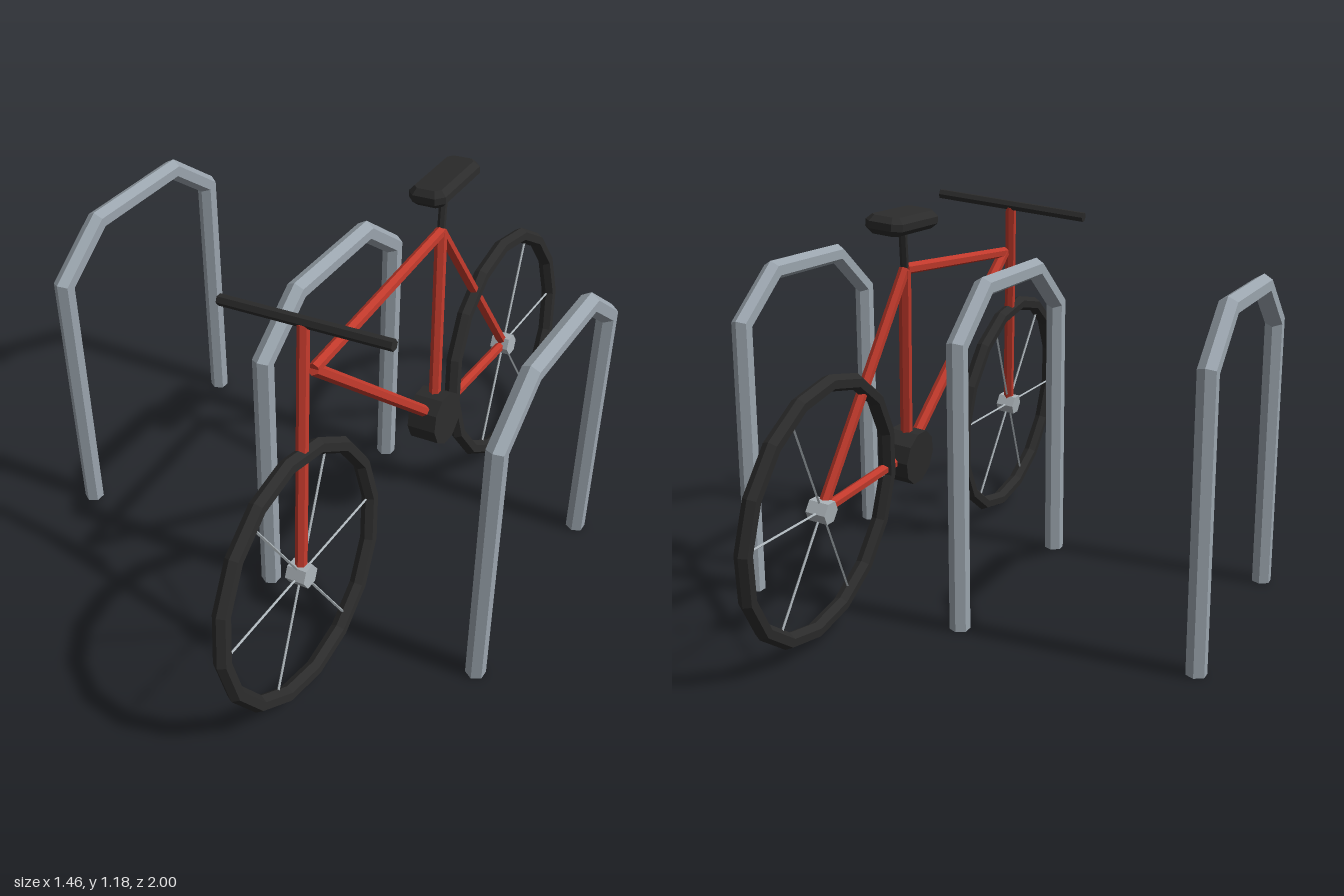
import * as THREE from 'three';

const mat = (name, color) => {
  const m = new THREE.MeshStandardMaterial({ color });
  m.name = name;
  return m;
};

// Splits faces so that every facet is shaded flat
function faceted(geo) {
  const g = geo.index ? geo.toNonIndexed() : geo;
  g.computeVertexNormals();
  return g;
}

function mesh(name, geo, material, parent) {
  const m = new THREE.Mesh(faceted(geo), material);
  m.name = name;
  parent.add(m);
  return m;
}

// Straight tube between two points
function bar(name, a, b, radius, material, parent, sides = 6) {
  const from = new THREE.Vector3(...a), to = new THREE.Vector3(...b);
  const dir = to.clone().sub(from);
  const m = mesh(name, new THREE.CylinderGeometry(radius, radius, dir.length(), sides), material, parent);
  m.position.copy(from).add(to).multiplyScalar(0.5);
  m.quaternion.setFromUnitVectors(new THREE.Vector3(0, 1, 0), dir.normalize());
  return m;
}

// Hexagonal tube with mitred bends, along a path of [z, y] points
function mitredTube(path, radius, sides = 6) {
  const pts = path.map(p => new THREE.Vector2(...p));
  const pos = [], index = [], last = pts.length - 1;
  pts.forEach((p, i) => {
    const d0 = pts[Math.max(i, 1)].clone().sub(pts[Math.max(i, 1) - 1]).normalize();
    const j = Math.min(i + 1, last);
    const d1 = pts[j].clone().sub(pts[j - 1]).normalize();
    const t = d0.clone().add(d1).normalize();
    const stretch = 1 / t.dot(d0);
    for (let k = 0; k < sides; k++) {
      const a = k / sides * Math.PI * 2;
      const off = Math.cos(a) * radius * stretch;
      pos.push(Math.sin(a) * radius, p.y + t.x * off, p.x - t.y * off);
    }
  });
  for (let i = 0; i < last; i++) {
    for (let k = 0; k < sides; k++) {
      const a = i * sides + k, b = i * sides + (k + 1) % sides;
      index.push(a, a + sides, b, b, a + sides, b + sides);
    }
  }
  // end caps
  const e = last * sides;
  for (let k = 1; k < sides - 1; k++) {
    index.push(0, k, k + 1, e, e + k + 1, e + k);
  }
  const g = new THREE.BufferGeometry();
  g.setAttribute('position', new THREE.Float32BufferAttribute(pos, 3));
  g.setIndex(index);
  return g;
}

export function createModel() {
  const rackGrey = mat('rack steel', 0x9aa4ad);
  const hubGrey = mat('hub metal', 0xa9b1b6);
  const red = mat('frame red', 0xc0392b);
  const black = mat('rubber black', 0x2b2b2b);

  const model = new THREE.Group();
  model.name = 'bikeRack';

  // Three bent-tube stands
  const arch = [[-0.353, 0], [-0.353, 0.83], [-0.182, 0.965], [0.182, 0.965], [0.353, 0.83], [0.353, 0]];
  for (const x of [-0.703, 0, 0.703]) {
    mesh('stand', mitredTube(arch, 0.03), rackGrey, model).position.x = x;
  }

  // Bicycle, leaning towards the middle stand
  const bike = new THREE.Group();
  bike.name = 'bicycle';
  bike.position.x = 0.326;
  bike.rotation.z = 0.103;
  model.add(bike);

  // Wheels
  const axleY = 0.404, axleZ = 0.614;
  for (const [name, z] of [['frontWheel', axleZ], ['rearWheel', -axleZ]]) {
    const wheel = new THREE.Group();
    wheel.name = name;
    wheel.position.set(0, axleY, z);
    bike.add(wheel);
    mesh('tyre', new THREE.TorusGeometry(0.362, 0.024, 6, 16), black, wheel).rotation.y = Math.PI / 2;
    const hub = mesh('hub', new THREE.CylinderGeometry(0.034, 0.034, 0.06, 6), hubGrey, wheel);
    hub.rotation.z = Math.PI / 2;
    for (let i = 0; i < 6; i++) {
      const a = i * Math.PI / 3;
      bar('spoke', [0, 0, 0], [0, Math.sin(a) * 0.35, Math.cos(a) * 0.35], 0.004, hubGrey, wheel, 4);
    }
  }

  // Frame tubes
  const crank = [0, 0.429, -0.137], seatJoint = [0, 1.015, -0.235], head = [0, 0.967, 0.452];
  const front = [0, axleY, axleZ], rear = [0, axleY, -axleZ];
  bar('fork', front, [0, 1.115, 0.473], 0.017, red, bike);
  bar('topTube', head, seatJoint, 0.017, red, bike);
  bar('downTube', head, crank, 0.018, red, bike);
  bar('seatTube', crank, seatJoint, 0.018, red, bike);
  bar('chainStay', crank, rear, 0.016, red, bike);
  bar('seatStay', seatJoint, rear, 0.016, red, bike);

  // Crank disc, handlebar and seat post
  bar('crankDisc', [-0.046, crank[1], crank[2]], [0.046, crank[1], crank[2]], 0.083, black, bike, 10);
  bar('handlebar', [-0.257, 1.12, 0.471], [0.257, 1.12, 0.471], 0.016, black, bike);
  bar('seatPost', seatJoint, [0, 1.145, -0.267], 0.012, black, bike);

  // Saddle: chamfered slab
  const w = 0.042, l = 0.11, c = 0.014, b = 0.016;
  const outline = [[w, l - c], [w - c, l], [c - w, l], [-w, l - c], [-w, c - l], [c - w, -l], [w - c, -l], [w, c - l]];
  const saddle = mesh('saddle', new THREE.ExtrudeGeometry(
    new THREE.Shape(outline.map(p => new THREE.Vector2(...p))),
    { depth: 0.02, bevelEnabled: true, bevelSegments: 1, bevelSize: b, bevelThickness: b }), black, bike);
  saddle.rotation.x = -Math.PI / 2;
  saddle.position.set(0, 1.146, -0.269);

  return model;
}
